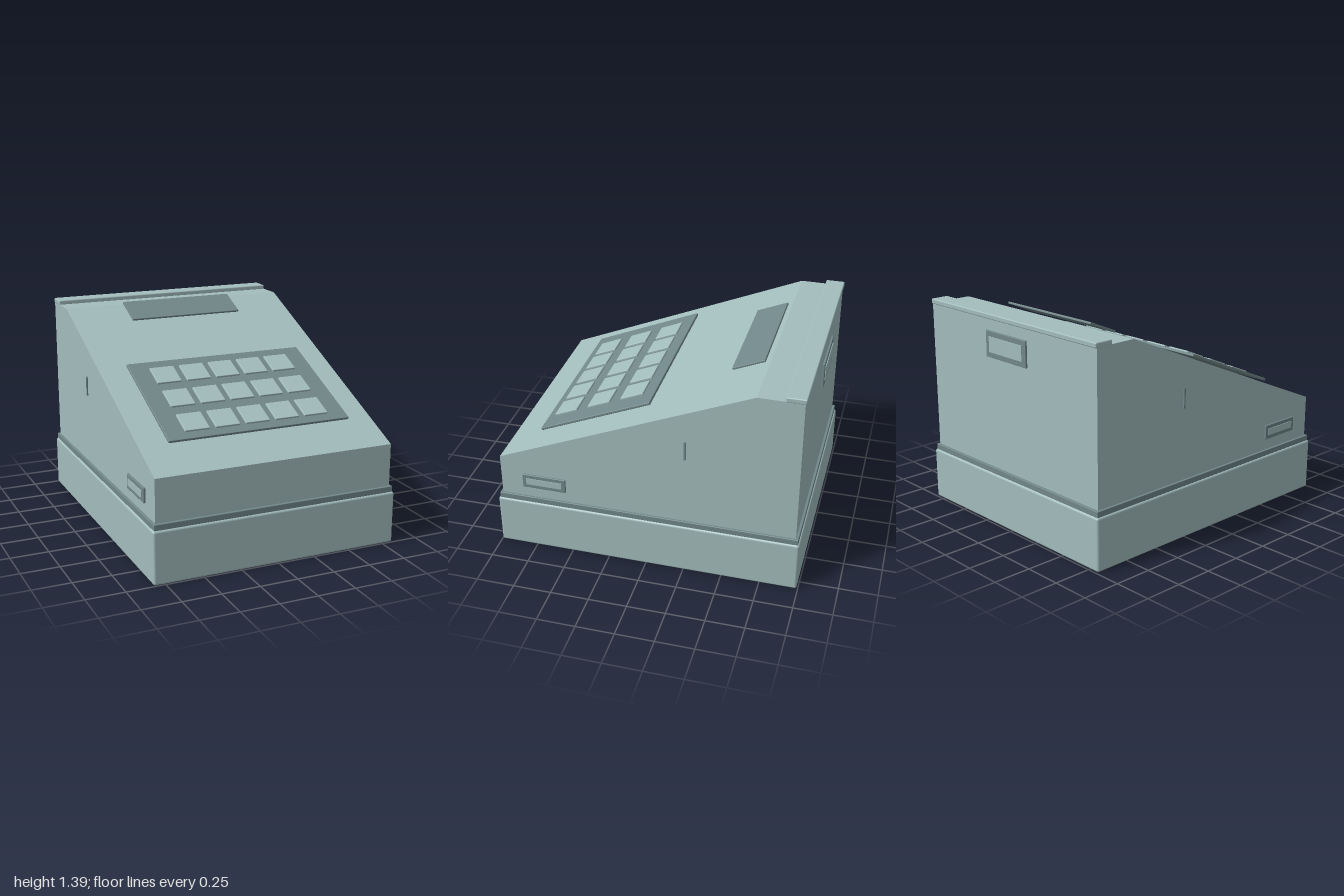
import * as THREE from 'three';
import { RoundedBoxGeometry } from 'three/addons/geometries/RoundedBoxGeometry.js';

const shell = new THREE.MeshStandardMaterial({ name: 'pale teal', color: 0xa3bdbd });
const trim = new THREE.MeshStandardMaterial({ name: 'slate teal', color: 0x72888a });

function box(name, size, pos, material, radius = 0) {
  const geometry = radius
    ? new RoundedBoxGeometry(size[0], size[1], size[2], 3, radius)
    : new THREE.BoxGeometry(...size);
  const mesh = new THREE.Mesh(geometry, material);
  mesh.name = name;
  mesh.position.set(...pos);
  return mesh;
}

// Framed plate facing +z: dark surround with a pale inset
function framedPlate(name, w, h, border) {
  const group = new THREE.Group();
  group.name = name;
  group.add(box('plateFrame', [w, h, 0.014], [0, 0, 0], trim, 0.004));
  group.add(box('plateInset', [w - 2 * border, h - 2 * border, 0.008], [0, 0, 0.007], shell));
  return group;
}

export function createModel() {
  const model = new THREE.Group();
  model.name = 'cashRegister';

  // Drawer base and the band above it
  model.add(box('drawerBase', [1.65, 0.345, 1.99], [0, 0.1725, 0.003], shell, 0.015));
  model.add(box('baseBand', [1.63, 0.04, 1.97], [0, 0.362, 0.003], trim, 0.004));

  // Wedge body, drawn as a side profile (shape x = -z) and extruded across
  const profile = new THREE.Shape([
    [-0.97, 0.38], [0.965, 0.38], [0.965, 1.36], [0.68, 1.36], [-0.97, 0.66],
  ].map(([a, b]) => new THREE.Vector2(a, b)));
  const bodyGeometry = new THREE.ExtrudeGeometry(profile, { depth: 1.6, bevelEnabled: false });
  bodyGeometry.translate(0, 0, -0.8).rotateY(Math.PI / 2);
  const body = new THREE.Mesh(bodyGeometry, shell);
  body.name = 'body';
  model.add(body);

  // Raised strip along the top rear edge
  model.add(box('topStrip', [1.604, 0.034, 0.125], [0, 1.372, -0.912], shell, 0.008));

  // Keypad and display lie parallel to the slope
  const tilt = Math.atan2(0.7, 1.65);
  const keypad = new THREE.Group();
  keypad.name = 'keypad';
  keypad.position.set(0, 0.945, 0.38);
  keypad.rotation.x = tilt;
  keypad.add(box('keypadPanel', [1.24, 0.018, 0.79], [0, 0, 0], trim, 0.004));
  for (let row = -1; row <= 1; row++) {
    for (let col = -2; col <= 2; col++) {
      keypad.add(box('key', [0.165, 0.016, 0.163],
        [col * 0.205, 0.014, 0.01 + row * 0.243], shell, 0.004));
    }
  }
  model.add(keypad);

  const display = box('display', [0.8, 0.014, 0.22], [0, 1.335, -0.552], trim, 0.003);
  display.rotation.x = tilt;
  model.add(display);

  // Matching handle plate and slot on each side
  for (const side of [-1, 1]) {
    const handle = framedPlate('sideHandle', 0.29, 0.097, 0.026);
    handle.position.set(side * 0.808, 0.507, 0.675);
    handle.rotation.y = side * Math.PI / 2;
    model.add(handle);
    model.add(box('sideSlot', [0.012, 0.13, 0.012], [side * 0.803, 0.915, -0.255], trim));
  }

  // Plate on the back
  const backPlate = framedPlate('backPlate', 0.39, 0.17, 0.035);
  backPlate.position.set(0, 1.205, -0.985);
  backPlate.rotation.y = Math.PI;
  model.add(backPlate);

  return model;
}
